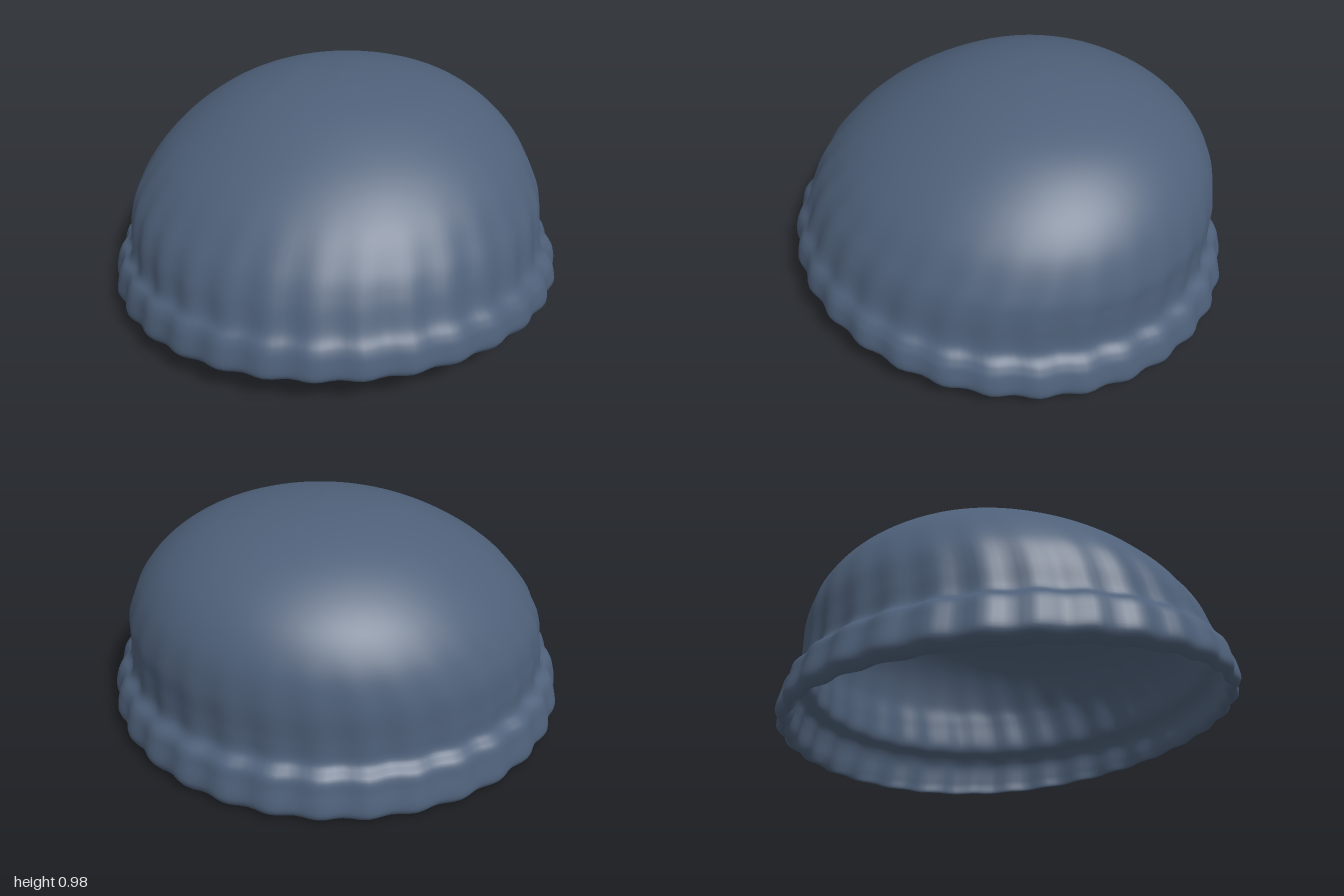
import * as THREE from 'three';

// Rings from the rim to the crown: x and y at the right, x and y at the left,
// z and y at the front, z and y at the back.
const RINGS = [
  [-0.94, 0.025, 0.94, 0.035, 0.94, 0.155, -0.94, 0.005],
  [-0.99, 0.07, 0.99, 0.09, 0.967, 0.185, -0.965, 0.04],
  [-0.978, 0.16, 0.98, 0.17, 0.958, 0.25, -0.95, 0.12],
  [-0.957, 0.215, 0.957, 0.215, 0.94, 0.295, -0.935, 0.175],
  [-0.915, 0.26, 0.915, 0.27, 0.905, 0.345, -0.893, 0.22],
  [-0.9, 0.38, 0.905, 0.4, 0.86, 0.45, -0.885, 0.3],
  [-0.86, 0.5, 0.89, 0.5, 0.8, 0.55, -0.885, 0.45],
  [-0.75, 0.65, 0.82, 0.65, 0.69, 0.675, -0.85, 0.6],
  [-0.6, 0.775, 0.7, 0.78, 0.52, 0.8, -0.75, 0.745],
  [-0.42, 0.88, 0.53, 0.885, 0.3, 0.905, -0.57, 0.87],
  [-0.2, 0.95, 0.3, 0.95, 0.1, 0.957, -0.34, 0.95],
  [0.05, 0.976, 0.05, 0.976, -0.1, 0.976, -0.1, 0.976],
];
const RIBS = 32, SEGMENTS = 192, STEPS = 6;

// Lining ring: the outer ring drawn in towards its centre and slightly lowered
function inset(ring, i) {
  const k = 0.945, drop = 0.045 * i / (RINGS.length - 1);
  const cx = (ring[0] + ring[2]) / 2, cz = (ring[4] + ring[6]) / 2;
  return ring.map((v, n) => n % 2 ? v - drop : (n < 4 ? cx : cz) + (v - (n < 4 ? cx : cz)) * k);
}

export function createModel() {
  const group = new THREE.Group();
  group.name = 'knitCap';
  const wool = new THREE.MeshStandardMaterial({ color: 0x4e6079 });
  wool.name = 'slateBlueWool';

  // One continuous path: down the lining, round the rim and up the outside
  const lining = RINGS.map(inset).slice(1).reverse();
  const path = [...lining, ...RINGS];
  const side = (n) => new THREE.CatmullRomCurve3(
    path.map((r) => new THREE.Vector3(r[n], r[n + 1], 0)), false, 'catmullrom', 0.5);
  const [right, left, front, back] = [0, 2, 4, 6].map(side);

  // Each ring is an ellipse through its four side points, rippled by the ribs
  const rows = (path.length - 1) * STEPS;
  const positions = [];
  for (let i = 0; i <= rows; i++) {
    const t = i / rows;
    const [r, l, f, b] = [right, left, front, back].map((c) => c.getPoint(t));
    const cx = (l.x + r.x) / 2, rx = (l.x - r.x) / 2;
    const cz = (f.x + b.x) / 2, rz = (f.x - b.x) / 2;
    const height = (r.y + l.y + f.y + b.y) / 4;
    const ripple = 0.009 * (1 - THREE.MathUtils.smoothstep(height, 0.15, 0.75));
    for (let j = 0; j < SEGMENTS; j++) {
      const a = j / SEGMENTS * Math.PI * 2, c = Math.cos(a), s = Math.sin(a);
      const k = 1 + ripple * Math.cos(a * RIBS);
      const y = c * c * (l.y + r.y) / 2 + s * s * (f.y + b.y) / 2
        + c * (l.y - r.y) / 2 + s * (f.y - b.y) / 2;
      positions.push(cx + rx * c * k, y, cz + rz * s * k);
    }
  }

  // Faces between two rows of the path
  function faces(from, to) {
    const index = [];
    for (let i = from; i < to; i++) {
      for (let j = 0; j < SEGMENTS; j++) {
        const n = (j + 1) % SEGMENTS;
        const a = i * SEGMENTS + j, b = a + SEGMENTS;
        const c = (i + 1) * SEGMENTS + n, d = i * SEGMENTS + n;
        if (i < rows - 1) index.push(a, b, c);
        else index.push(a, b, d);
        if (i > 0 && i < rows - 1) index.push(a, c, d);
        }
    }
    return index;
  }

  // Shared smooth normals keep the seams between the parts invisible
  const whole = new THREE.BufferGeometry();
  whole.setAttribute('position', new THREE.Float32BufferAttribute(positions, 3));
  whole.setIndex(faces(0, rows));
  whole.computeVertexNormals();
  for (let j = 0; j < SEGMENTS; j++) {
    whole.attributes.normal.setXYZ(j, 0, -1, 0);
    whole.attributes.normal.setXYZ(rows * SEGMENTS + j, 0, 1, 0);
  }

  function addPart(name, from, to) {
    const geometry = new THREE.BufferGeometry();
    geometry.setAttribute('position', whole.attributes.position);
    geometry.setAttribute('normal', whole.attributes.normal);
    geometry.setIndex(faces(from, to));
    const mesh = new THREE.Mesh(geometry, wool);
    mesh.name = name;
    group.add(mesh);
  }
  const rim = lining.length * STEPS, fold = rim + 4 * STEPS;
  addPart('lining', 0, rim);
  addPart('foldedBand', rim, fold);
  addPart('crown', fold, rows);
  return group;
}
